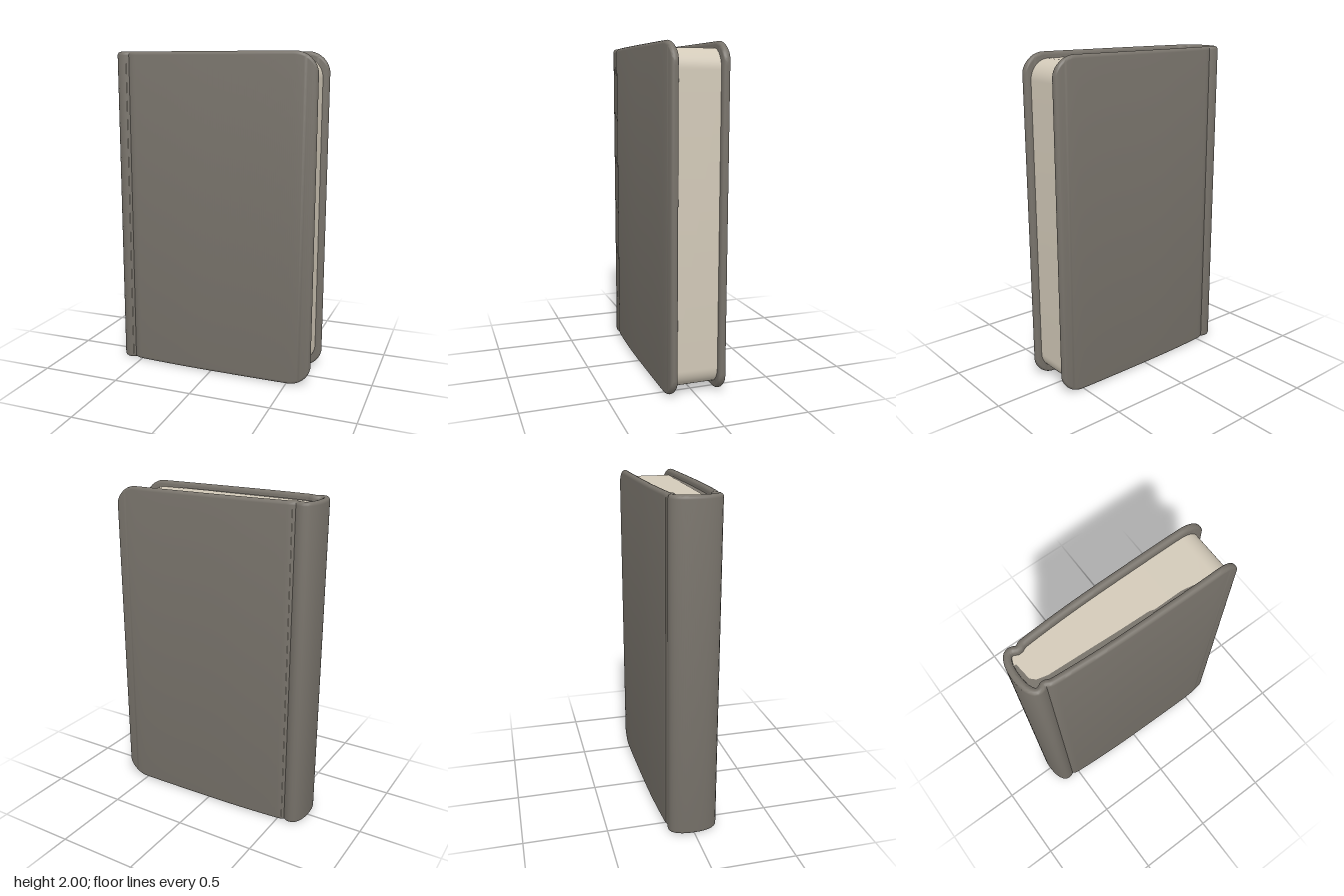
import * as THREE from 'three';
import { toCreasedNormals } from 'three/addons/utils/BufferGeometryUtils.js';

// Skin a list of equal-length rings (arrays of Vector3) and cap both ends
function loft(rings, crease) {
  const n = rings[0].length, pos = [], idx = [];
  rings.forEach(r => r.forEach(p => pos.push(p.x, p.y, p.z)));
  for (let i = 0; i < rings.length - 1; i++) {
    for (let j = 0; j < n; j++) {
      const a = i * n + j, d = i * n + (j + 1) % n, b = a + n, c = d + n;
      idx.push(a, d, b, b, d, c);
    }
  }
  const last = (rings.length - 1) * n;
  for (let j = 1; j < n - 1; j++) {
    idx.push(0, j + 1, j, last, last + j, last + j + 1);
  }
  const g = new THREE.BufferGeometry();
  g.setAttribute('position', new THREE.Float32BufferAttribute(pos, 3));
  g.setIndex(idx);
  return toCreasedNormals(g, crease);
}

// Half height of an outline whose right-hand corners are rounded
function halfHeight(x, h, right, r) {
  const d = Math.min(Math.max(x - (right - r), 0), r);
  return h - r + Math.sqrt(r * r - d * d);
}

// Case: one board wrapped from the front edge round the spine to the back edge
function coverGeometry() {
  const half = [[0.648, 0.146], [0.5, 0.151], [0.2, 0.151], [-0.2, 0.145], [-0.48, 0.13],
    [-0.515, 0.126], [-0.545, 0.113], [-0.575, 0.126], [-0.6, 0.122], [-0.625, 0.08]];
  const pts = [...half, [-0.635, 0], ...half.map(([x, z]) => [x, -z]).reverse()];
  const curve = new THREE.CatmullRomCurve3(pts.map(([x, z]) => new THREE.Vector3(x, 0, z)));
  curve.arcLengthDivisions = 1000;
  const length = curve.getLength();
  const us = [0, 0.0006, 0.0015, 0.003, 0.005];
  for (let i = 2; i <= 238; i++) us.push(i / 240);
  us.push(0.995, 0.997, 0.9985, 0.9994, 1);

  const T = 0.021, steps = 8;
  const rings = us.map(u => {
    const p = curve.getPointAt(u), t = curve.getTangentAt(u);
    const N = new THREE.Vector3(-t.z, 0, t.x);
    const edge = Math.min(u, 1 - u) * length;
    const k = Math.min(edge / T, 1);
    const thick = T * Math.max(0.15, Math.sqrt(1 - (1 - k) ** 2));
    const h = halfHeight(p.x, 1, 0.65, 0.14);
    const ring = [];
    for (const s of [1, -1]) {
      for (let j = 0; j <= steps; j++) {
        const a = -Math.PI / 2 + Math.PI * j / steps;
        const y = s * (h - T + T * Math.cos(a));
        ring.push(p.clone().addScaledVector(N, s * thick * Math.sin(a)).setY(1 + y));
      }
    }
    return ring;
  });
  return loft(rings, 0.8);
}

// Page block: rectangular sections, rounded into the spine and at the fore corners
function pagesGeometry() {
  const xs = [-0.618, -0.61, -0.595, -0.57, -0.54, -0.48, -0.2, 0.2, 0.49];
  for (let i = 1; i <= 14; i++) xs.push(0.49 + 0.12 * Math.sin(i / 14 * Math.PI / 2));
  const width = new THREE.CatmullRomCurve3([[-0.618, 0.07], [-0.595, 0.105], [-0.54, 0.106],
    [-0.48, 0.113], [0, 0.13], [0.61, 0.132]].map(([x, w]) => new THREE.Vector3(x, w, 0)));
  const samples = width.getPoints(200);
  const rings = xs.map(x => {
    const w = (samples.find(p => p.x >= x - 1e-6) || samples[200]).y;
    const h = halfHeight(x, 0.963, 0.61, 0.12);
    return [[h, -w], [h, w], [-h, w], [-h, -w]].map(([y, z]) => new THREE.Vector3(x, 1 + y, z));
  });
  return loft(rings, 0.6);
}

export function createModel() {
  const cover = new THREE.MeshStandardMaterial({ color: 0x78736b });
  cover.name = 'grey cover';
  const paper = new THREE.MeshStandardMaterial({ color: 0xd3cab9 });
  paper.name = 'cream paper';

  const book = new THREE.Group();
  book.name = 'book';
  const add = (geometry, material, name) => {
    const mesh = new THREE.Mesh(geometry, material);
    mesh.name = name;
    book.add(mesh);
    return mesh;
  };

  add(coverGeometry(), cover, 'cover');
  add(pagesGeometry(), paper, 'pageBlock');

  // Pale linings on one wall of each hinge groove
  for (const s of [1, -1]) {
    const strip = add(new THREE.PlaneGeometry(0.022, 1.95), paper, s > 0 ? 'frontHingeLining' : 'backHingeLining');
    strip.rotation.y = s * Math.PI / 2;
    strip.position.set(s > 0 ? -0.559 : -0.53, 1, s * 0.135);
  }

  // Grey stain on the top of the pages along the spine and front board
  const outline = [[-0.615, -0.06], [-0.595, -0.06], [-0.585, 0.04], [-0.56, 0.065], [-0.5, 0.08],
    [-0.3, 0.088], [-0.1, 0.097], [0.1, 0.103], [0.13, 0.112], [0.3, 0.11], [0.37, 0.122],
    [0.37, 0.132], [0, 0.13], [-0.48, 0.113], [-0.54, 0.106], [-0.595, 0.105], [-0.615, 0.075]];
  const stain = new THREE.ShapeGeometry(new THREE.Shape(outline.map(([x, z]) => new THREE.Vector2(x, -z))));
  stain.rotateX(-Math.PI / 2);
  add(stain, cover, 'topPageStain').position.y = 1.966;

  return book;
}
